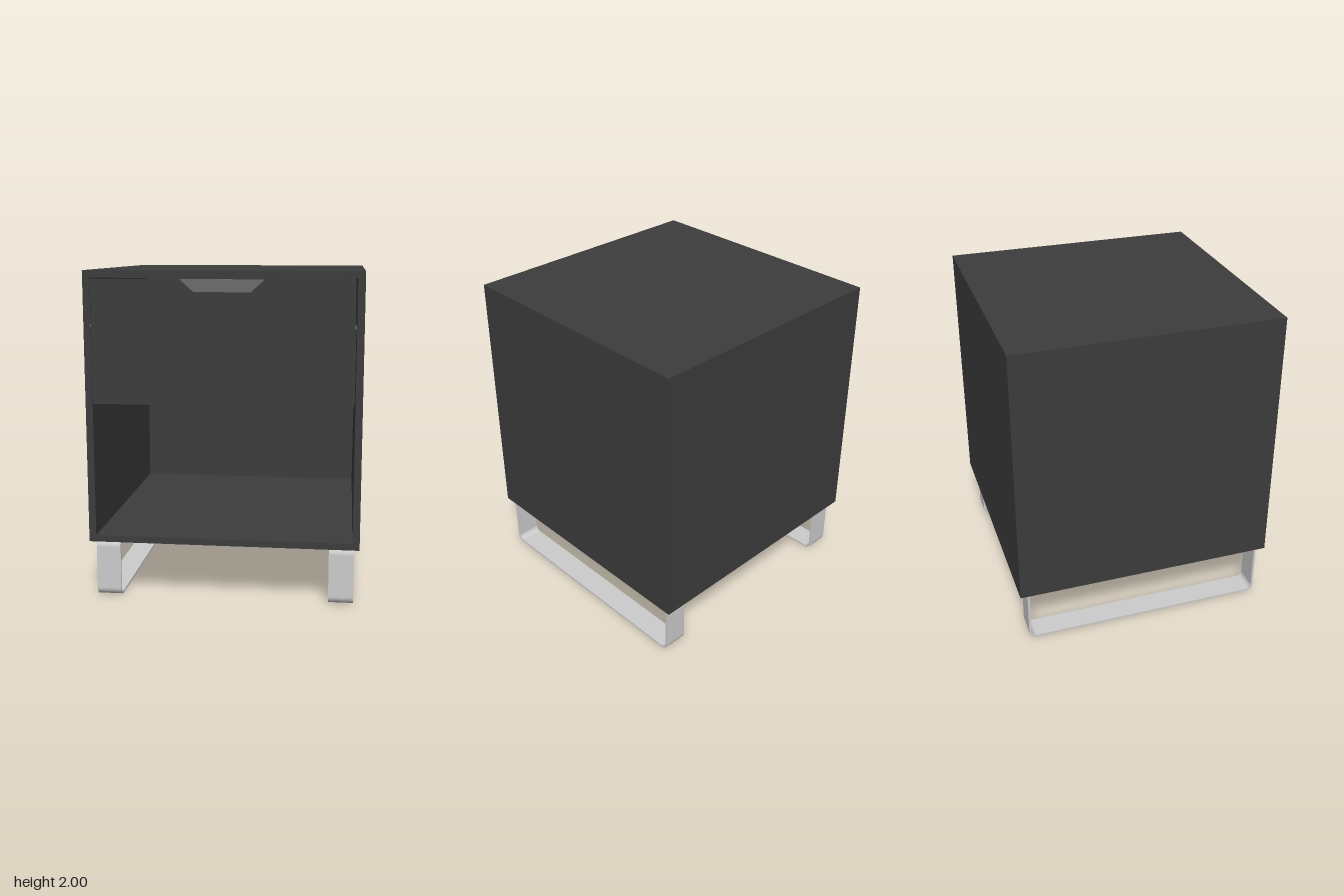
import * as THREE from 'three';

const dark = new THREE.MeshStandardMaterial({ color: 0x3c3c3c });
const recess = new THREE.MeshStandardMaterial({ color: 0x6c6c6c });
const metal = new THREE.MeshStandardMaterial({ color: 0xcccccc });

// Box given by its lower and upper corners
function box(parent, name, [x0, y0, z0], [x1, y1, z1], material = dark) {
  const mesh = new THREE.Mesh(new THREE.BoxGeometry(x1 - x0, y1 - y0, z1 - z0), material);
  mesh.position.set((x0 + x1) / 2, (y0 + y1) / 2, (z0 + z1) / 2);
  mesh.name = name;
  parent.add(mesh);
}

// Rounded rectangle traced onto a Shape or Path
function roundedRect(path, x0, y0, x1, y1, r) {
  path.moveTo(x0 + r, y0);
  path.lineTo(x1 - r, y0);
  path.absarc(x1 - r, y0 + r, r, -Math.PI / 2, 0);
  path.lineTo(x1, y1 - r);
  path.absarc(x1 - r, y1 - r, r, 0, Math.PI / 2);
  path.lineTo(x0 + r, y1);
  path.absarc(x0 + r, y1 - r, r, Math.PI / 2, Math.PI);
  path.lineTo(x0, y0 + r);
  path.absarc(x0 + r, y0 + r, r, Math.PI, Math.PI * 1.5);
  return path;
}

function createCabinet() {
  const cabinet = new THREE.Group();
  cabinet.name = 'cabinet';
  // Open-fronted case: a square tube closed by a back panel
  const outer = new THREE.Shape([[-0.82, 0.36], [0.82, 0.36], [0.82, 2], [-0.82, 2]].map(p => new THREE.Vector2(...p)));
  outer.holes.push(new THREE.Path([[-0.777, 0.4], [-0.777, 1.957], [0.777, 1.957], [0.777, 0.4]].map(p => new THREE.Vector2(...p))));
  const shell = new THREE.Mesh(new THREE.ExtrudeGeometry(outer, { depth: 1.645, bevelEnabled: false }), dark);
  shell.position.z = -0.835;
  shell.name = 'caseShell';
  cabinet.add(shell);
  box(cabinet, 'backPanel', [-0.777, 0.4, -0.834], [0.777, 1.957, -0.8]);
  return cabinet;
}

function createDrawer() {
  const drawer = new THREE.Group();
  drawer.name = 'drawer';
  // Front panel with a tapered finger notch in its top edge
  const face = new THREE.Shape([
    [-0.768, 1.218], [0.768, 1.218], [0.768, 1.95], [0.25, 1.95],
    [0.168, 1.876], [-0.168, 1.876], [-0.25, 1.95], [-0.768, 1.95],
  ].map(p => new THREE.Vector2(...p)));
  const front = new THREE.Mesh(new THREE.ExtrudeGeometry(face, { depth: 0.045, bevelEnabled: false }), dark);
  front.position.z = 0.79;
  front.name = 'drawerFront';
  drawer.add(front);
  // Lighter plate seen through the notch
  box(drawer, 'notchBacking', [-0.27, 1.86, 0.78], [0.27, 1.95, 0.79], recess);
  // Drawer tray
  box(drawer, 'drawerBottom', [-0.76, 1.22, -0.75], [0.76, 1.24, 0.79]);
  box(drawer, 'drawerBack', [-0.76, 1.24, -0.75], [0.76, 1.68, -0.73]);
  for (const s of [-1, 1]) {
    const x = s * 0.755;
    box(drawer, 'drawerSide', [x - 0.018, 1.24, -0.73], [x + 0.018, 1.68, 0.79]);
    box(drawer, 'runnerTip', [s * 0.771 - 0.004, 1.672, 0.78], [s * 0.771 + 0.004, 1.688, 0.83], recess);
  }
  return drawer;
}

// Sled leg: flat metal band bent into a rounded rectangle
function createLeg(side) {
  const band = roundedRect(new THREE.Shape(), -0.765, 0, 0.785, 0.36, 0.05);
  band.holes.push(roundedRect(new THREE.Path(), -0.752, 0.012, 0.772, 0.348, 0.038));
  const geometry = new THREE.ExtrudeGeometry(band, { depth: 0.15, bevelEnabled: false, curveSegments: 10 });
  geometry.rotateY(Math.PI / 2);
  const leg = new THREE.Mesh(geometry, metal);
  leg.position.x = side * 0.713 - 0.075;
  leg.name = side > 0 ? 'leftLeg' : 'rightLeg';
  return leg;
}

export function createModel() {
  const model = new THREE.Group();
  model.name = 'bedsideCabinet';
  model.add(createCabinet(), createDrawer(), createLeg(1), createLeg(-1));
  return model;
}
